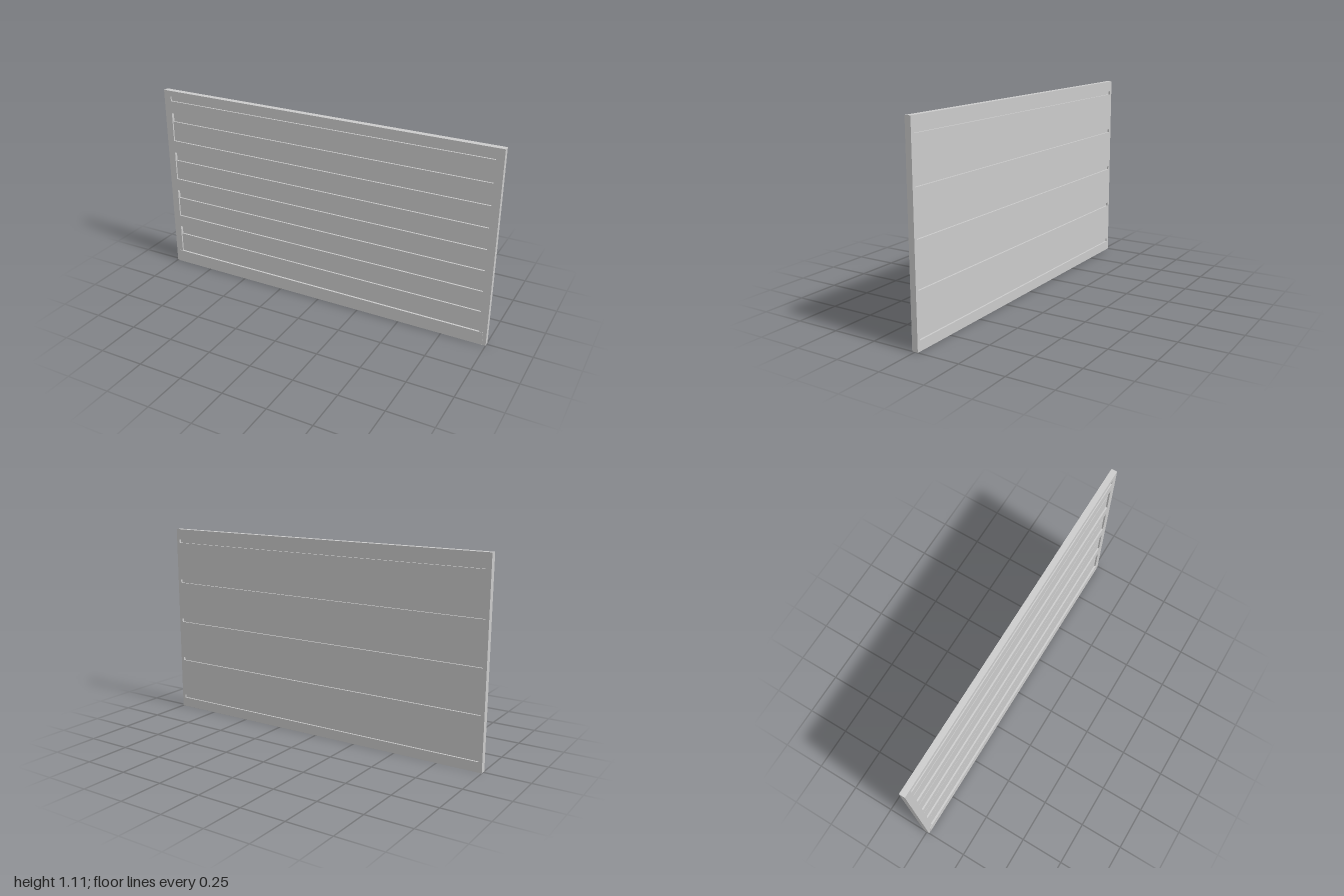
import * as THREE from 'three';

const HEIGHT = 1.106, PITCH = 0.2425, FIRST = 0.075;

export function createModel() {
  const group = new THREE.Group();
  const material = new THREE.MeshStandardMaterial({ color: 0xcccccc, flatShading: true });

  const rectangle = (path, halfWidth, y0, y1) => {
    path.moveTo(-halfWidth, y0);
    path.lineTo(halfWidth, y0);
    path.lineTo(halfWidth, y1);
    path.lineTo(-halfWidth, y1);
    path.closePath();
    return path;
  };

  // A sheet from z0 to z1 with horizontal openings cut through it
  const sheet = (name, z0, z1, openings = [], halfWidth = 1, top = HEIGHT) => {
    const shape = rectangle(new THREE.Shape(), halfWidth, 0, top);
    for (const [w, y0, y1] of openings) shape.holes.push(rectangle(new THREE.Path(), w, y0, y1));
    const geometry = new THREE.ExtrudeGeometry(shape, { depth: z1 - z0, bevelEnabled: false });
    geometry.translate(0, 0, z0);
    const mesh = new THREE.Mesh(geometry, material);
    mesh.name = name;
    group.add(mesh);
  };

  // Openings repeat at one pitch up the panel; the top front one is a narrow slot
  const backGrooves = [], deepRecesses = [], frontRecesses = [];
  for (let i = 0; i < 5; i++) {
    const y = FIRST + i * PITCH;
    backGrooves.push([0.98, y - 0.02, y]);
    frontRecesses.push([0.957, y, y + (i < 4 ? 0.17 : 0.027)]);
    if (i < 4) deepRecesses.push([0.957, y + 0.116, y + 0.17]);
  }

  sheet('groovedBack', -0.0175, -0.0075, backGrooves);
  sheet('core', -0.0075, -0.0025);
  sheet('steppedLayer', -0.0025, 0.0065, deepRecesses);
  sheet('recessedFront', 0.0065, 0.0155, frontRecesses);
  // Thin plate along the foot of the front
  sheet('kickPlate', 0.0155, 0.0175, [], 0.98, FIRST);

  return group;
}
